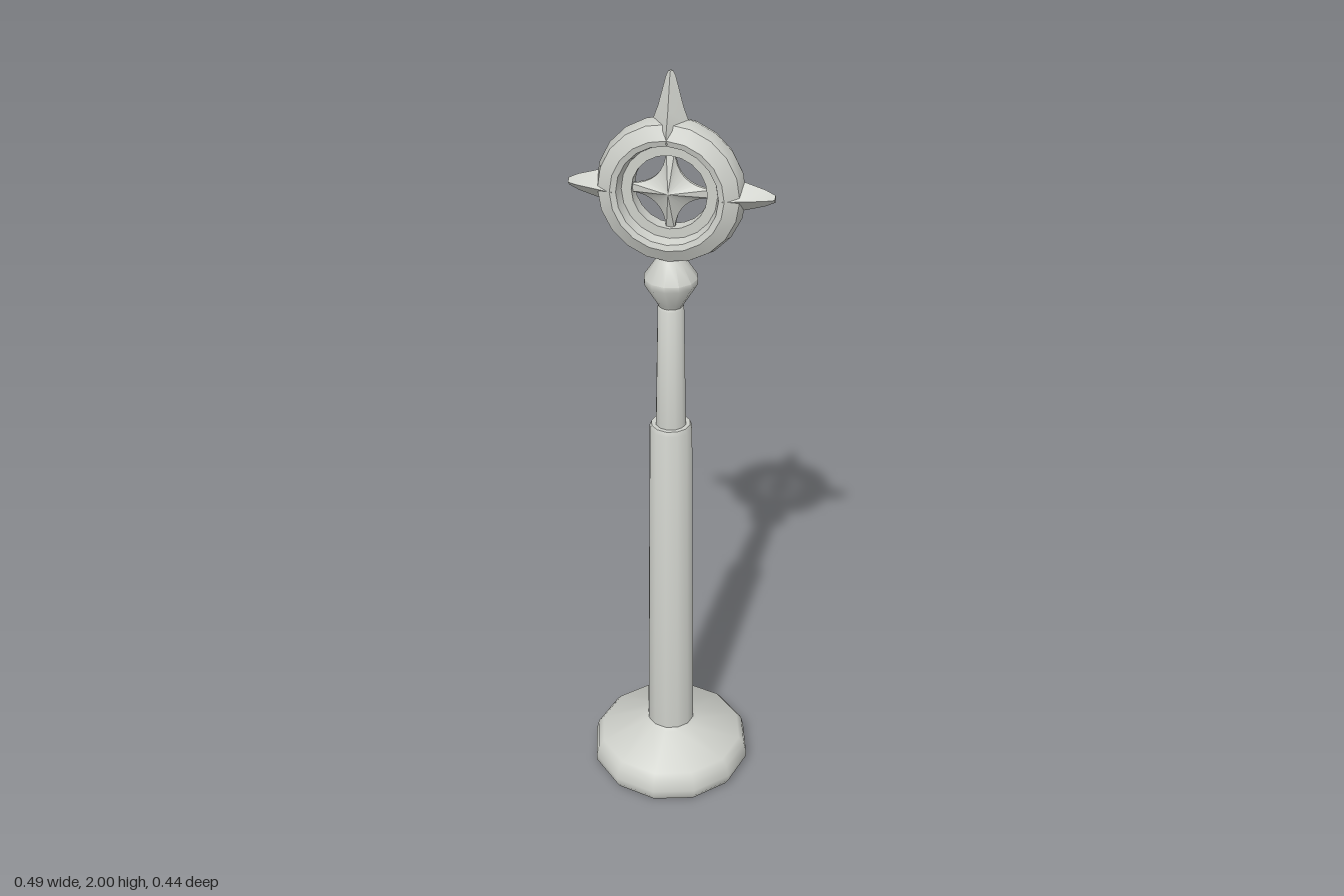
import * as THREE from 'three';
import { toCreasedNormals } from 'three/addons/utils/BufferGeometryUtils.js';

const RING_Y = 1.717;

// Turned part from [radius, height] pairs, listed from bottom to top
function turned(profile, sides) {
  const geo = new THREE.LatheGeometry(profile.map(([r, y]) => new THREE.Vector2(r, y)), sides);
  return toCreasedNormals(geo, 0.75);
}

// Four-pointed star with concave sides, raised to a peak front and back
function starGeometry(tip, waist, half, peak) {
  const outline = [];
  const curve = new THREE.QuadraticBezierCurve(
    new THREE.Vector2(tip, half), new THREE.Vector2(waist, waist), new THREE.Vector2(half, tip));
  for (let q = 0; q < 4; q++) {
    for (const p of curve.getPoints(8)) {
      outline.push(p.rotateAround(new THREE.Vector2(), q * Math.PI / 2));
    }
  }
  const pos = [];
  outline.forEach((a, i) => {
    const b = outline[(i + 1) % outline.length];
    pos.push(0, 0, peak, a.x, a.y, 0.004, b.x, b.y, 0.004);
    pos.push(0, 0, -peak, b.x, b.y, -0.004, a.x, a.y, -0.004);
    pos.push(a.x, a.y, 0.004, a.x, a.y, -0.004, b.x, b.y, -0.004);
    pos.push(a.x, a.y, 0.004, b.x, b.y, -0.004, b.x, b.y, 0.004);
  });
  const geo = new THREE.BufferGeometry();
  geo.setAttribute('position', new THREE.Float32BufferAttribute(pos, 3));
  return toCreasedNormals(geo, 0.3);
}

export function createModel() {
  const group = new THREE.Group();
  const stone = new THREE.MeshStandardMaterial({ color: 0xcdcfc9 });
  stone.name = 'paleGrey';

  const add = (name, geo, y = 0) => {
    const mesh = new THREE.Mesh(geo, stone);
    mesh.name = name;
    mesh.position.y = y;
    group.add(mesh);
    return mesh;
  };

  // Foot and the two pole sections
  add('base', turned([[0, 0], [0.208, 0], [0.219, 0.018], [0.219, 0.035], [0.212, 0.065],
    [0.197, 0.083], [0.075, 0.128], [0.06, 0.14]], 12));
  add('lowerPole', turned([[0.065, 0.12], [0.055, 1.08], [0.05, 1.092], [0, 1.092]], 12));
  add('upperPole', turned([[0.039, 1.08], [0.033, 1.415], [0.029, 1.422], [0, 1.422]], 12));

  // Double-cone collar under the ring
  add('collar', turned([[0, 1.418], [0.028, 1.418], [0.034, 1.43], [0.066, 1.483],
    [0.066, 1.497], [0.034, 1.545], [0.025, 1.556], [0, 1.556]], 12));

  // Ring with bevelled outside and a stepped inner rim
  const section = [[0.09, -0.018], [0.114, -0.018], [0.121, -0.043], [0.135, -0.047], [0.168, -0.03],
    [0.178, 0], [0.168, 0.03], [0.135, 0.047], [0.121, 0.043], [0.114, 0.018], [0.09, 0.018],
    [0.09, -0.018]];
  add('ring', turned(section, 20).rotateX(Math.PI / 2), RING_Y);

  // Spikes with a diamond section: one on top, one on each side
  add('topSpike', turned([[0.047, 0.125], [0.047, 0.155], [0.03, 0.2], [0.011, 0.272],
    [0.005, 0.283], [0, 0.283]], 4), RING_Y);
  for (const side of [-1, 1]) {
    const geo = turned([[0.047, 0.13], [0.036, 0.168], [0.02, 0.222], [0.009, 0.245], [0, 0.245]], 4);
    geo.rotateZ(-side * Math.PI / 2);
    add(side > 0 ? 'leftSpike' : 'rightSpike', geo, RING_Y);
  }

  // Star held inside the ring
  add('star', starGeometry(0.098, 0.014, 0.01, 0.032), RING_Y);

  return group;
}
